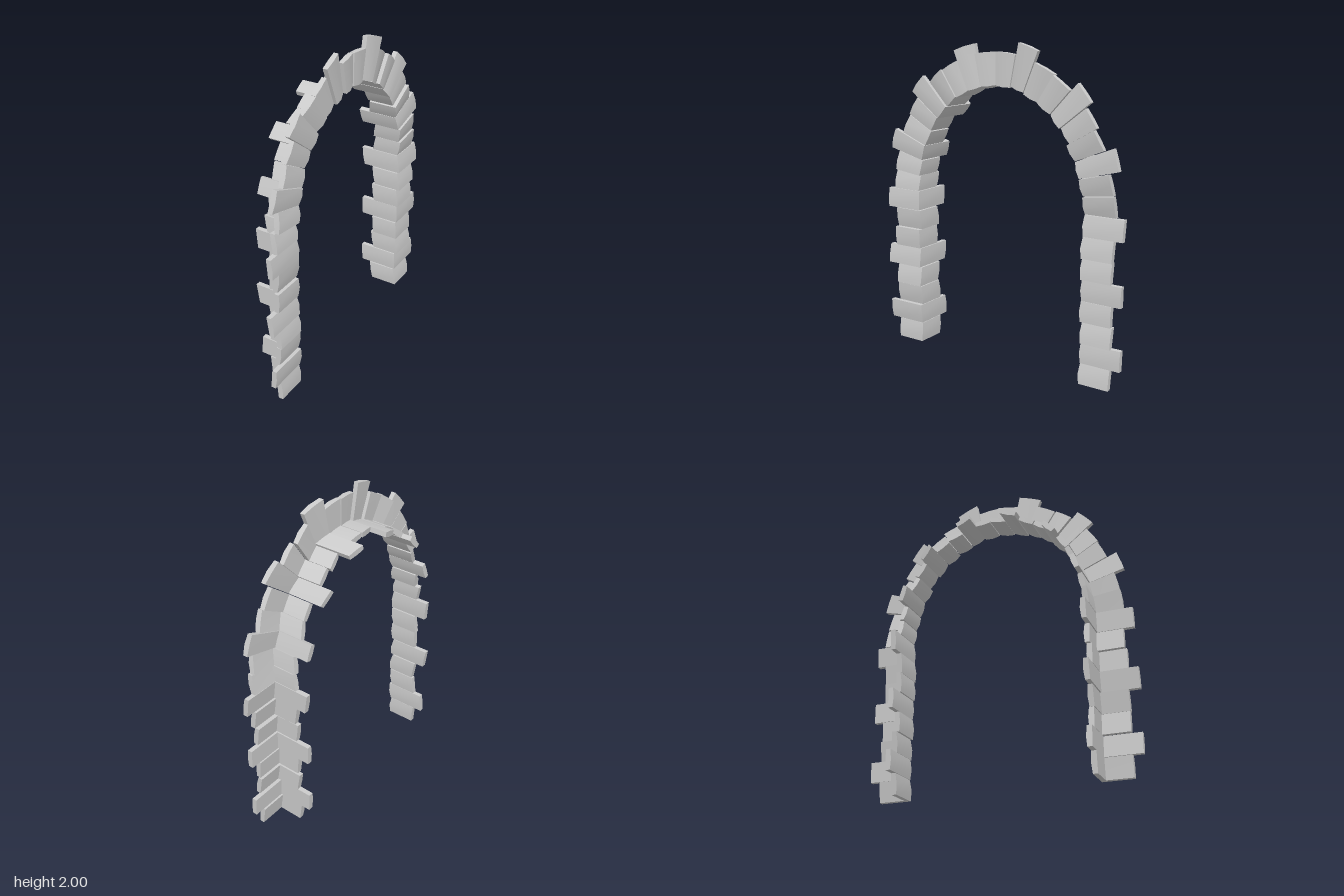
import * as THREE from 'three';
import { toCreasedNormals } from 'three/addons/utils/BufferGeometryUtils.js';

const COUNT = 36, LEG = 8, STEP = 0.13;        // stones in the arch, stones per straight leg
const HALF = 0.605, RISE = 0.715, THICK = 0.03;
const quarter = new THREE.EllipseCurve(0, LEG * STEP, HALF, RISE, 0, Math.PI / 2);

let seed = 7;
const jitter = (a) => {
  seed = (seed * 16807) % 2147483647;
  return (seed / 2147483647 - 0.5) * 2 * a;
};

// Point and outward normal on the inner line of the arch; k counts stones from the front foot
function pathAt(k) {
  const m = Math.min(k, COUNT - k), side = k <= COUNT / 2 ? 1 : -1;
  if (m <= LEG) return { z: HALF * side, y: m * STEP, nz: side, ny: 0 };
  const p = quarter.getPointAt((m - LEG) / (COUNT / 2 - LEG));
  const n = new THREE.Vector2(p.x / HALF ** 2, (p.y - LEG * STEP) / RISE ** 2).normalize();
  return { z: p.x * side, y: p.y, nz: n.x * side, ny: n.y };
}

// L-shaped stone: a face plate on the wall and a return into the opening
function stoneGeometry(k, width, depth) {
  const t = THICK;
  const section = [[0, 0], [0, width], [-t, width], [-t, t], [-depth, t], [-depth, 0]];
  const lean = jitter(0.012), shift = jitter(0.006), inset = jitter(0.006);
  const pos = [], index = [];
  [0.015, 0.5, 0.985].forEach((f, s) => {
    const p = pathAt(k === 0 && s === 0 ? 0 : k + f);
    const bulge = s === 1 ? 0.006 : 0;
    for (const [x, r] of section) {
      const rr = r + inset + (r === 0 ? -bulge : 0);
      pos.push(x + shift + lean * (s - 1) + (x === 0 ? bulge : 0), p.y + p.ny * rr, p.z + p.nz * rr);
    }
  });
  // Side walls between the sections
  for (let s = 0; s < 2; s++) {
    for (let i = 0; i < 6; i++) {
      const j = (i + 1) % 6, a = s * 6, b = a + 6;
      index.push(a + j, a + i, b + i, a + j, b + i, b + j);
    }
  }
  // Bed faces; the arch runs one way, so the winding is the same for every stone
  for (let i = 1; i < 5; i++) index.push(0, i, i + 1, 12, 12 + i + 1, 12 + i);
  // Past the crown the outward normal and travel direction turn together
  const g = new THREE.BufferGeometry();
  g.setAttribute('position', new THREE.Float32BufferAttribute(pos, 3));
  g.setIndex(index);
  return toCreasedNormals(g, 0.7);
}

export function createModel() {
  const model = new THREE.Group();
  model.name = 'stoneArchSurround';
  const material = new THREE.MeshStandardMaterial({ color: 0xcccccc, side: THREE.DoubleSide });

  const arch = new THREE.Group();
  arch.name = 'arch';
  for (let k = 0; k < COUNT; k++) {
    // Every third stone is a larger quoin
    const large = Math.min(k, COUNT - 1 - k) % 3 === 1;
    const stone = new THREE.Mesh(
      stoneGeometry(k, (large ? 0.257 : 0.197) + jitter(0.004), (large ? 0.265 : 0.185) + jitter(0.006)),
      material
    );
    stone.name = large ? 'largeStone' : 'smallStone';
    arch.add(stone);
  }
  // The wall line is turned slightly about the vertical
  arch.rotation.y = 0.11;
  arch.position.set(0.108, 0, -0.008);
  model.add(arch);
  return model;
}
